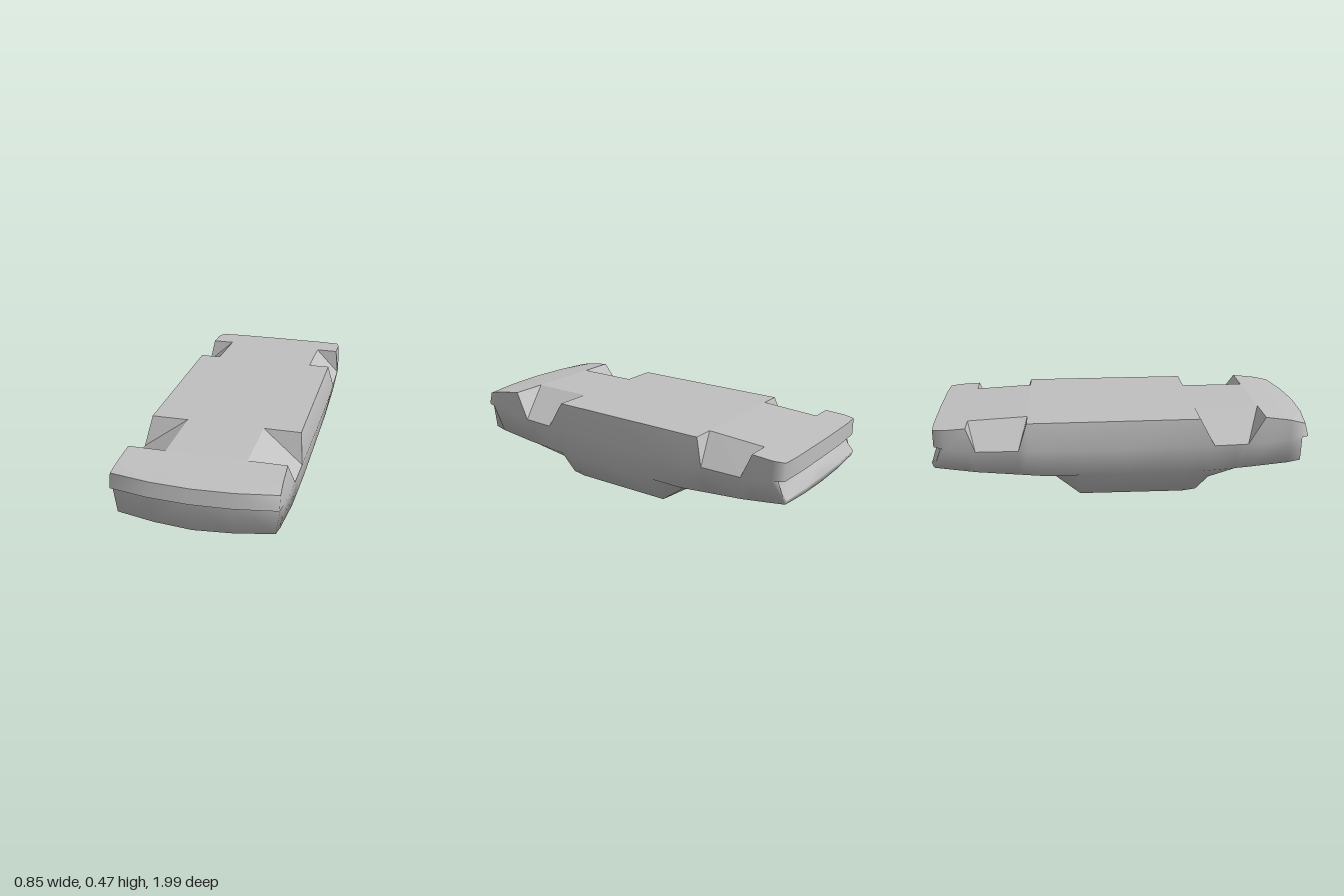
import * as THREE from 'three';
import { mergeVertices } from 'three/addons/utils/BufferGeometryUtils.js';

// A straight-segment curve through [z, value] points, listed front to back
const track = (...points) => (z) => {
  const i = Math.max(1, points.findIndex((p) => p[0] <= z));
  const [z0, v0] = points[i - 1];
  const [z1, v1] = points[i];
  return THREE.MathUtils.lerp(v0, v1, (z0 - z) / (z0 - z1));
};

// Lines that run the length of the overturned car shell
const floorY = track([0.99, 0.43], [0.72, 0.465], [-0.505, 0.465], [-0.985, 0.44]);
const floorInnerX = track([0.99, 0.2], [0.38, 0.2], [-0.42, 0.28], [-0.985, 0.28]);
const floorEdgeX = track([0.99, 0.4], [0.72, 0.39], [-0.505, 0.393], [-0.92, 0.4], [-0.985, 0.382]);
const beltX = track([0.99, 0.4], [0.72, 0.41], [-0.42, 0.426], [-0.81, 0.417], [-0.92, 0.403], [-0.985, 0.382]);
const beltY = track([0.99, 0.36], [0.72, 0.33], [0, 0.318], [-0.505, 0.33], [-0.81, 0.33], [-0.985, 0.35]);
const shoulderX = track([0.99, 0.38], [0.63, 0.4], [-0.765, 0.4], [-0.985, 0.375]);
const shoulderY = track([0.99, 0.22], [0.31, 0.175], [-0.42, 0.18], [-0.985, 0.235]);
const roofX = track([0.99, 0.19], [0.63, 0.2], [0.38, 0.305], [-0.24, 0.3], [-0.42, 0.27], [-0.985, 0.19]);
const roofY = track([0.99, 0.212], [0.57, 0.175], [0.38, 0.038], [0.31, 0.028], [-0.24, 0.03], [-0.42, 0.165], [-0.985, 0.227]);
const centreY = track([0.99, 0.205], [0.57, 0.167], [0.38, 0.028], [0.31, 0.003], [0, 0], [-0.24, 0.003], [-0.42, 0.158], [-0.985, 0.222]);

const STATIONS = [0.99, 0.85, 0.72, 0.63, 0.57, 0.455, 0.38, 0.31, 0,
  -0.24, -0.42, -0.505, -0.55, -0.765, -0.81, -0.92, -0.985];
const inArch = (z) => (z > 0.38 && z < 0.72) || (z > -0.81 && z < -0.505);

// Collects triangles for the +x half and their mirror images
function makeSurface() {
  const pos = [];
  const same = (p, q) => p.every((v, i) => Math.abs(v - q[i]) < 1e-6);
  const tri = (a, b, c) => {
    if (same(a, b) || same(b, c) || same(a, c)) return;
    pos.push(...a, ...b, ...c);
    for (const p of [a, c, b]) pos.push(-p[0], p[1], p[2]);
  };
  const quad = (a, b, c, d, flip) => {
    if (flip) { tri(a, b, d); tri(b, c, d); } else { tri(a, b, c); tri(a, c, d); }
  };
  const geometry = (smooth) => {
    let g = new THREE.BufferGeometry();
    g.setAttribute('position', new THREE.Float32BufferAttribute(pos, 3));
    if (smooth) g = mergeVertices(g, 1e-5);
    g.computeVertexNormals();
    return g;
  };
  return { tri, quad, geometry };
}

export function createModel() {
  const shell = makeSurface();
  const floor = makeSurface();
  const ledges = makeSurface();

  // Bowed ends: points swing back towards the corners
  const frontZ = (z, x) => z - 0.045 * (x / 0.4) ** 2;
  const rearZ = (z, x) => z + 0.012 * (x / 0.4) ** 4;
  const last = STATIONS.length - 1;

  const rings = STATIONS.map((z, i) => {
    const at = (x, y, dz = 0) =>
      [x, y, i === 0 ? frontZ(z + dz, x) : i === last ? rearZ(z + dz, x) : z];
    const lip = i === 0 ? -0.02 : 0;                       // front lip leans back at the floor
    const inset = i === 0 ? -0.03 : i === last ? 0.035 : 0; // panel below the bumper lip
    const nose = i === 0 ? -0.03 : i === last ? -0.005 : 0;
    const arch = inArch(z);
    const belt = at(beltX(z), beltY(z));
    const edge = arch ? belt : at(floorEdgeX(z), floorY(z), lip);
    return {
      arch,
      floor: [at(0, floorY(z), lip), at(floorInnerX(z), floorY(z), lip), edge],
      side: [edge, belt, at(beltX(z), beltY(z), inset), at(shoulderX(z), shoulderY(z), nose),
        at(roofX(z), roofY(z), nose), at(0, centreY(z), nose)],
    };
  });

  // Sides, bonnet, glass and roof as one smooth skin; flat floor with cut-out wheel arches
  for (let i = 0; i < last; i++) {
    const p = rings[i];
    const q = rings[i + 1];
    const flip = p.arch && !q.arch;
    for (const [surface, key] of [[floor, 'floor'], [shell, 'side']]) {
      for (let j = 0; j + 1 < p[key].length; j++) {
        surface.quad(p[key][j], p[key][j + 1], q[key][j + 1], q[key][j], flip);
      }
    }
  }

  // Joins two rows of points that run from the centre to the corner
  const strip = (surface, top, bottom, rear) => {
    for (let j = 0; j < 2; j++) {
      if (rear) surface.quad(top[j], top[j + 1], bottom[j + 1], bottom[j]);
      else surface.quad(top[j], bottom[j], bottom[j + 1], top[j + 1]);
    }
  };
  const row = (corner, y, z, bow) => [0, 0.2, corner].map((x) => [x, y, bow(z, x)]);

  // Front bumper lip, its ledge and the recessed front panel
  const front = rings[0];
  const frontLip = row(0.4, 0.36, 0.99, frontZ);
  const frontTop = row(0.4, 0.36, 0.96, frontZ);
  const frontBase = [front.side[5], front.side[4], front.side[3]];
  strip(shell, front.floor, frontLip, false);
  strip(ledges, frontLip, frontTop, false);
  strip(shell, frontTop, frontBase, false);

  // Rear bumper lip, ledge, hollow tail panel and tail edge
  const rear = rings[last];
  const rearLip = row(0.382, 0.35, -0.985, rearZ);
  const rearTop = row(0.382, 0.35, -0.95, rearZ);
  const hollow = row(0.38, 0.31, -0.955, rearZ);
  const tail = row(0.378, 0.262, -1, rearZ);
  const rearBase = [rear.side[5], rear.side[4], rear.side[3]];
  strip(shell, rear.floor, rearLip, true);
  strip(ledges, rearLip, rearTop, true);
  strip(shell, rearTop, hollow, true);
  strip(shell, hollow, tail, true);
  strip(shell, tail, rearBase, true);
  // Corner of the tail panel
  shell.tri(rearTop[2], rearBase[2], hollow[2]);
  shell.tri(hollow[2], rearBase[2], tail[2]);

  const grey = new THREE.MeshStandardMaterial({ color: 0xc0c0c0, side: THREE.DoubleSide });
  grey.name = 'body grey';

  const group = new THREE.Group();
  group.name = 'overturnedCarBody';
  const add = (name, surface, smooth) => {
    const mesh = new THREE.Mesh(surface.geometry(smooth), grey);
    mesh.name = name;
    group.add(mesh);
  };
  add('bodyShell', shell, true);
  add('underbodyAndWheelArches', floor, false);
  add('bumperLedges', ledges, false);
  return group;
}
